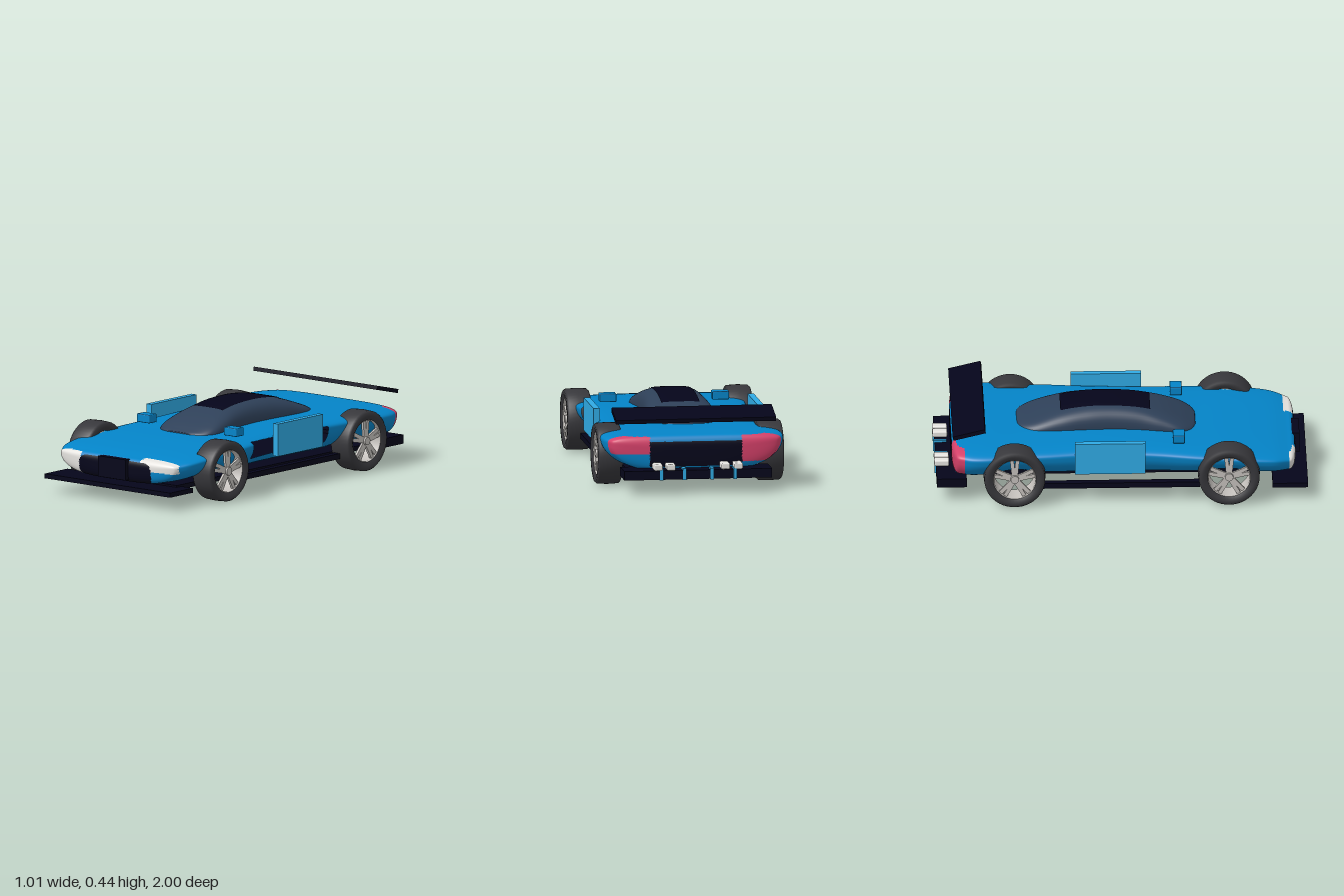
import * as THREE from 'three';
import { RoundedBoxGeometry } from 'three/addons/geometries/RoundedBoxGeometry.js';

const mat = (name, color) => {
  const m = new THREE.MeshStandardMaterial({ color, side: THREE.DoubleSide });
  m.name = name;
  return m;
};

// Signed power, for superellipse sections
const spow = (v, e) => Math.sign(v) * Math.pow(Math.abs(v), e);

// Smooth curve through stations [z, halfWidth, topY]
const stations = (list) =>
  new THREE.CatmullRomCurve3(list.map((s) => new THREE.Vector3(...s)), false, 'catmullrom', 0.5);

// Joins closed rings (rear to front); pick(x, y, z) gives a material index, or -1 for a hole
function loft(rings, pick, count) {
  const n = rings[0].length, pos = rings.flat(2), faces = Array.from({ length: count }, () => []);
  for (let j = 0; j < rings.length - 1; j++) {
    for (let i = 0; i < n; i++) {
      const k = (i + 1) % n;
      const corners = [rings[j][i], rings[j][k], rings[j + 1][i], rings[j + 1][k]];
      const mid = [0, 1, 2].map((c) => corners.reduce((t, p) => t + p[c], 0) / 4);
      const m = pick(...mid);
      if (m < 0) continue;
      const a = j * n + i, b = j * n + k, c = a + n, d = b + n;
      faces[m].push(a, b, c, b, d, c);
    }
  }
  const g = new THREE.BufferGeometry();
  g.setAttribute('position', new THREE.Float32BufferAttribute(pos, 3));
  g.setIndex(faces.flat());
  let start = 0;
  faces.forEach((f, m) => { g.addGroup(start, f.length, m); start += f.length; });
  g.computeVertexNormals();
  return g;
}

export function createModel() {
  const car = new THREE.Group();
  const blue = mat('body blue', 0x0484c8);
  const paleBlue = mat('panel blue', 0x30aae4);
  const navy = mat('trim navy', 0x05051a);
  const glass = mat('canopy slate', 0x2e4058);
  const rubber = mat('tyre grey', 0x37373b);
  const silver = mat('rim silver', 0xc4c0bc);
  const white = mat('lamp white', 0xe6e4e0);
  const red = mat('tail lamp red', 0xd6416a);

  const add = (name, geo, material, parent = car) => {
    const m = new THREE.Mesh(geo, material);
    m.name = name;
    parent.add(m);
    return m;
  };
  // Box given by its extents on each axis
  const box = (name, x, y, z, material, radius = 0) => {
    const s = [x, y, z].map(([a, b]) => b - a);
    const g = radius ? new RoundedBoxGeometry(...s, 3, radius) : new THREE.BoxGeometry(...s);
    const m = add(name, g, material);
    m.position.set(...[x, y, z].map(([a, b]) => (a + b) / 2));
    return m;
  };

  // Body shell: shouldered sections, closed by domed nose and tail
  const bodyCurve = stations([
    [-0.87, 0.455, 0.308], [-0.8, 0.485, 0.31], [-0.7, 0.49, 0.312], [-0.55, 0.467, 0.312],
    [-0.4, 0.458, 0.312], [-0.2, 0.436, 0.312], [0, 0.428, 0.309], [0.2, 0.436, 0.302],
    [0.4, 0.456, 0.292], [0.55, 0.464, 0.285], [0.7, 0.464, 0.273], [0.82, 0.448, 0.259], [0.9, 0.408, 0.243],
  ]);
  const bottom = 0.11, N = 200;
  const bodyRing = (t, scale = 1, dz = 0) => {
    const p = bodyCurve.getPoint(t), ring = [];
    const mid = bottom + (p.z - bottom) * 0.77;
    // the lower body is drawn in beside the wheels
    const pinch = 0.15 + 0.2 * Math.exp(-(((Math.abs(p.x) - 0.575) / 0.14) ** 2));
    for (let i = 0; i < N; i++) {
      const a = (i / N) * Math.PI * 2, c = Math.cos(a), s = Math.sin(a);
      const v = spow(s, 0.62);
      const tuck = s < 0 ? 1 - pinch * Math.pow(-v, 1.6) : 1;
      const x = p.y * spow(c, 0.5) * tuck;
      const y = mid + v * (s < 0 ? mid - bottom : p.z - mid);
      const hub = (bottom + p.z) / 2;
      ring.push([x * scale, hub + (y - hub) * scale, p.x + dz]);
    }
    return ring;
  };
  const rings = [], CAP = 60, SPAN = 110;
  for (let k = 0; k < CAP; k++) {
    const s = Math.max(k / CAP, 0.001);
    rings.push(bodyRing(0, s, -0.04 * Math.sqrt(1 - s ** 4)));
  }
  for (let k = 0; k <= SPAN; k++) rings.push(bodyRing(k / SPAN));
  for (let k = CAP - 1; k >= 0; k--) {
    const s = Math.max(k / CAP, 0.001);
    rings.push(bodyRing(1, s, 0.04 * Math.sqrt(1 - s ** 4)));
  }
  const paint = (x, y, z) => {
    const ax = Math.abs(x);
    if (x > 0.3 && Math.abs(z) < 0.3 && y > 0.19 && y < 0.28) return -1; // side intake
    if (y < 0.125 && x > -0.25 && x < 0.37 && Math.abs(z) < 0.87) return 1;
    if (z > 0.88) {
      const grille = Math.hypot(Math.max(ax - 0.2, 0) / 0.05, Math.max(Math.abs(y - 0.167) - 0.02, 0) / 0.04);
      if (grille < 1) return 1;
      if (x > 0.17 && x < 0.41 && y > 0.185) return 2;
      if (x < -0.24 && x > -0.41 && z > 0.902 && y > 0.115 && y < 0.238) return 2;
    }
    if (z < -0.88 && ax < 0.25 && y > 0.14 && y < 0.275) return 1;
    if (z < -0.84 && ax > 0.25 && y < 0.302 && y > (x > 0 ? 0.21 : 0.16)) return 3;
    return 0;
  };
  add('body', loft(rings, paint, 4), [blue, navy, white, red]);

  // Canopy
  const roofCurve = stations([
    [-0.56, 0.08, 0.305], [-0.54, 0.135, 0.32], [-0.46, 0.186, 0.348], [-0.32, 0.19, 0.393], [-0.18, 0.18, 0.417],
    [-0.04, 0.172, 0.421], [0.1, 0.174, 0.409], [0.22, 0.186, 0.378], [0.32, 0.187, 0.339],
    [0.38, 0.15, 0.31], [0.405, 0.09, 0.297],
  ]);
  const sill = 0.275, EX = 0.55, EY = 0.56;
  const canopyRings = [], plateRows = [];
  for (let k = 0; k <= 80; k++) {
    const p = roofCurve.getPoint(k / 80), ring = [];
    for (let i = 0; i < 48; i++) {
      const a = (i / 48) * Math.PI * 2;
      const s = Math.sin(a);
      ring.push([p.y * spow(Math.cos(a), EX), sill + spow(s, EY) * (s > 0 ? p.z - sill : 0.01), p.x]);
    }
    canopyRings.push(ring);
    if (p.x > -0.33 && p.x < 0.165) plateRows.push(p);
  }
  const tip = (ring) => ring.map((q) => [0, 0.28, q[2]]);
  canopyRings.unshift(tip(canopyRings[0]));
  canopyRings.push(tip(canopyRings[canopyRings.length - 1]));
  add('canopy', loft(canopyRings, () => 0, 1), [glass]);

  // Roof plate follows the canopy surface
  const plate = new THREE.PlaneGeometry(1, 1, 10, plateRows.length - 1);
  const pp = plate.attributes.position;
  for (let i = 0; i < pp.count; i++) {
    // rows run from rear to front with x mirrored, so the face looks up
    const p = plateRows[Math.floor(i / 11)];
    const x = (0.5 - (i % 11) / 10) * 0.208;
    const c2 = Math.pow(Math.abs(x) / p.y, 2 / EX);
    pp.setXYZ(i, x, sill + (p.z - sill) * Math.pow(1 - c2, EY / 2) + 0.004, p.x);
  }
  plate.setIndex([...plate.index.array].reverse());
  plate.computeVertexNormals();
  if (plate.attributes.normal.getY(0) < 0) {
    plate.setIndex([...plate.index.array].reverse());
    plate.computeVertexNormals();
  }
  add('roofPlate', plate, navy);

  // Floor, splitter, diffuser, nose block
  box('floor', [-0.25, 0.36], [0.088, 0.113], [-0.85, 0.85], navy);
  box('frontSplitter', [-0.44, 0.44], [0.078, 0.103], [0.81, 1], navy);
  box('rearDiffuser', [-0.4, 0.4], [0.083, 0.132], [-0.99, -0.83], navy);
  box('noseBlock', [-0.095, 0.095], [0.125, 0.237], [0.92, 0.963], navy);

  // Rear wing, front edge raised
  const wing = add('rearWing', new THREE.BoxGeometry(0.868, 0.022, 0.178), navy);
  wing.position.set(0, 0.407, -0.818);
  wing.rotation.x = -0.24;

  // Wheel shapes, axle along y before turning
  const P = (list) => list.map(([r, y]) => new THREE.Vector2(r, y));
  const tyre = new THREE.LatheGeometry(P([
    [0.115, -0.056], [0.135, -0.067], [0.154, -0.066], [0.163, -0.056], [0.166, 0],
    [0.163, 0.056], [0.154, 0.066], [0.135, 0.067], [0.115, 0.056],
  ]), 48);
  const barrel = new THREE.LatheGeometry(P([[0.11, -0.055], [0.11, 0.052], [0.119, 0.056]]), 48);
  const spoke = new THREE.Shape(P([[-0.016, 0.012], [0.016, 0.012], [0.026, 0.112], [0.005, 0.112],
    [0, 0.065], [-0.005, 0.112], [-0.026, 0.112]]));
  const spokeGeo = new THREE.ExtrudeGeometry(spoke, { depth: 0.014, bevelEnabled: false });

  for (const side of [1, -1]) {
    const label = side > 0 ? 'left' : 'right';
    const span = (a, b) => (side > 0 ? [a, b] : [-b, -a]);
    box(label + 'Skirt', span(0.395, 0.435), [0.085, 0.115], [-0.42, 0.42], navy);
    box(label + 'SidePanel', span(0.427, 0.461), [0.18, 0.357], [-0.25, 0.127], paleBlue);
    box(label + 'Mirror', span(0.26, 0.35), [0.303, 0.348], [0.278, 0.342], blue, 0.005);
    for (const x of [0.147, 0.217]) {
      box(label + 'Exhaust', span(x - 0.024, x + 0.024), [0.133, 0.167], [-1, -0.92], white, 0.008);
    }
    for (const x of [0.075, 0.2]) {
      box(label + 'DiffuserFin', span(x - 0.009, x + 0.009), [0.08, 0.142], [-0.998, -0.925], paleBlue);
    }
    for (const z of [0.575, -0.575]) {
      const wheel = new THREE.Group();
      wheel.name = label + (z > 0 ? 'FrontWheel' : 'RearWheel');
      wheel.position.set(side * 0.437, 0.168, z);
      car.add(wheel);
      add('tyre', tyre, rubber, wheel).rotation.z = -side * Math.PI / 2;
      add('rim', barrel, silver, wheel).rotation.z = -side * Math.PI / 2;
      const hub = add('hub', new THREE.CylinderGeometry(0.022, 0.026, 0.03, 20), silver, wheel);
      hub.rotation.z = -side * Math.PI / 2;
      hub.position.x = side * 0.047;
      const face = new THREE.Group();
      face.name = 'spokes';
      face.position.x = side * 0.038;
      face.rotation.y = side * Math.PI / 2;
      wheel.add(face);
      for (let k = 0; k < 5; k++) add('spoke', spokeGeo, silver, face).rotation.z = (k * Math.PI * 2) / 5;
    }
  }
  return car;
}
